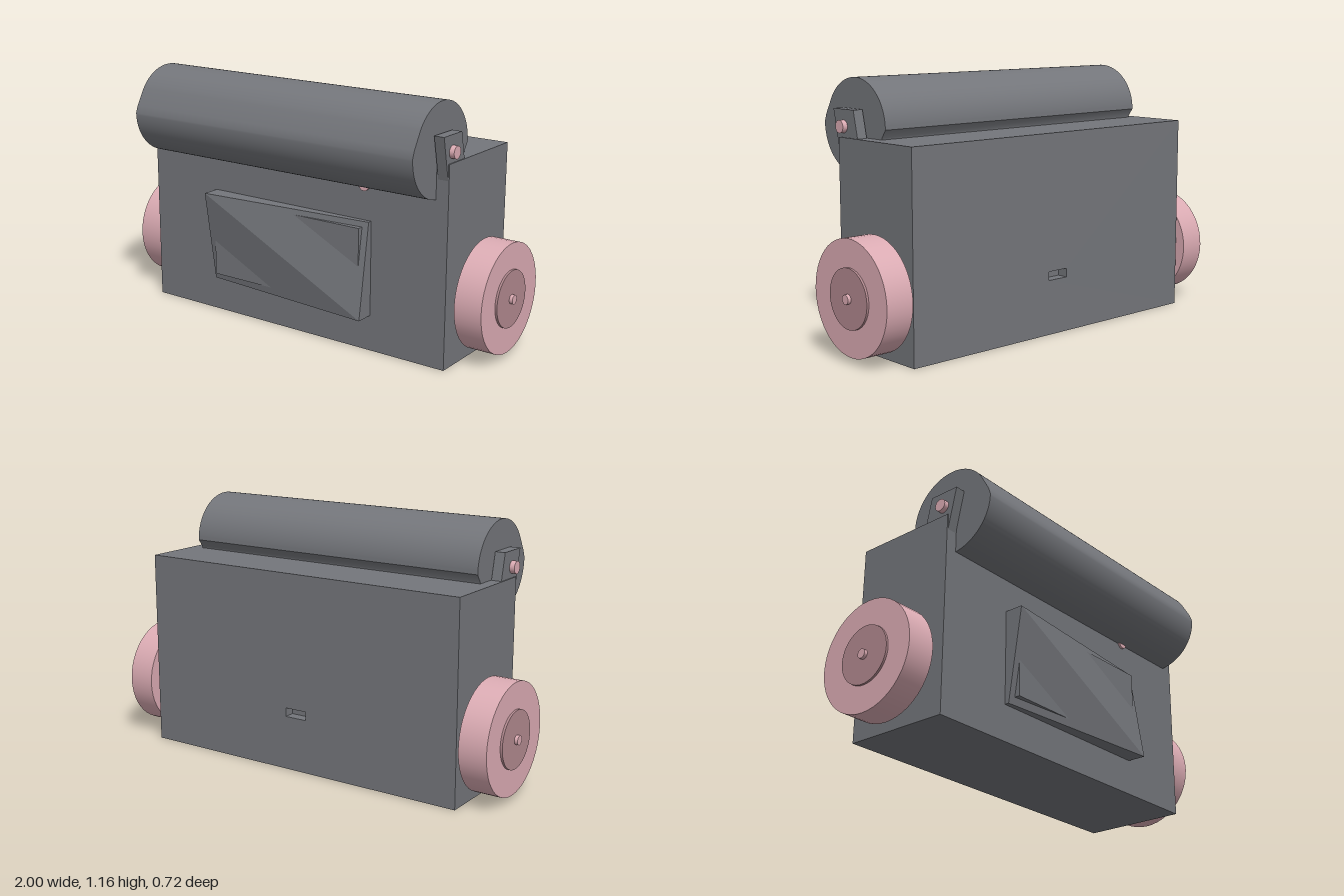
import * as THREE from 'three';
import { toCreasedNormals } from 'three/addons/utils/BufferGeometryUtils.js';
import { ConvexGeometry } from 'three/addons/geometries/ConvexGeometry.js';

const paint = (name, color) => {
  const m = new THREE.MeshStandardMaterial({ color });
  m.name = name;
  return m;
};

export function createModel() {
  const model = new THREE.Group();
  const grey = paint('slate grey', 0x74767b);
  const pink = paint('dusty pink', 0xdcacb4);
  const darkPink = paint('dark pink', 0xb2898f);

  const add = (name, geometry, material, parent = model) => {
    const mesh = new THREE.Mesh(geometry, material);
    mesh.name = name;
    parent.add(mesh);
    return mesh;
  };
  const box = (x0, x1, y0, y1, z0, z1) =>
    new THREE.BoxGeometry(x1 - x0, y1 - y0, z1 - z0)
      .translate((x0 + x1) / 2, (y0 + y1) / 2, (z0 + z1) / 2);
  // Cylinder lying along x between x0 and x1
  const rod = (r, x0, x1, y, z, sides = 48) =>
    new THREE.CylinderGeometry(r, r, x1 - x0, sides)
      .rotateZ(Math.PI / 2).translate((x0 + x1) / 2, y, z);
  // Profile drawn in (z, y), extruded along x
  const slab = (shape, x0, x1) =>
    new THREE.ExtrudeGeometry(shape, { depth: x1 - x0, bevelEnabled: false, curveSegments: 32 })
      .rotateY(-Math.PI / 2).translate(x1, 0, 0);
  const polygon = (pts) => new THREE.Shape(pts.map(([a, b]) => new THREE.Vector2(a, b)));

  // Body, with a shallow slot cut into the back
  add('body', box(-0.82, 0.82, 0, 0.91, -0.28, 0.17), grey);
  const back = polygon([[-0.82, 0], [0.82, 0], [0.82, 0.91], [-0.82, 0.91]]);
  back.holes.push(polygon([[-0.055, 0.25], [-0.055, 0.29], [0.055, 0.29], [0.055, 0.25]]));
  add('slottedBack', new THREE.ExtrudeGeometry(back, { depth: 0.05, bevelEnabled: false })
    .translate(0, 0, -0.33), grey);

  // Front panel: ridge between two raised corners, with a flat plate showing through
  const corners = [];
  for (const x of [-0.44, 0.44]) {
    for (const y of [0.165, 0.6]) {
      const raised = (x < 0) === (y > 0.4);
      corners.push(new THREE.Vector3(x, y, 0.168), new THREE.Vector3(x, y, raised ? 0.257 : 0.19));
    }
  }
  add('frontPanel', new ConvexGeometry(corners), grey);
  add('panelPlate', box(-0.41, 0.41, 0.2, 0.575, 0.168, 0.223), grey);

  // Roller: two offset arcs joined at the front
  const profile = new THREE.Shape();
  profile.absarc(0.15, 0.96, 0.21, Math.PI + 0.2, Math.PI * 2, false);
  profile.lineTo(0.348, 0.994);
  profile.absarc(0.13, 0.953, 0.21, 0.6, Math.PI, false);
  profile.closePath();
  add('roller', toCreasedNormals(slab(profile, -0.765, 0.76), 0.4), grey);

  // Small knob tucked below the roller
  add('knob', new THREE.CylinderGeometry(0.025, 0.025, 0.03, 16)
    .rotateX(Math.PI / 2).translate(0.405, 0.757, 0.165), pink);

  const bracket = polygon([[0.212, 1.03], [0.068, 1.03], [0.022, 0.83], [0.168, 0.83]]);
  for (const side of [1, -1]) {
    const label = side > 0 ? 'left' : 'right';
    const span = (a, b) => (side > 0 ? [a, b] : [-b, -a]);

    // Roller mount
    add(label + 'Bracket', slab(bracket, ...span(0.768, 0.815)), grey);
    add(label + 'RollerPin', rod(0.028, ...span(0.755, 0.838), 0.957, 0.14, 24), pink);

    // Wheel, hub and axle
    const wheel = new THREE.Group();
    wheel.name = label + 'Wheel';
    model.add(wheel);
    add('tyre', rod(0.25, ...span(0.845, 0.975), 0.28, -0.11), pink, wheel);
    add('hub', rod(0.13, ...span(0.833, 0.985), 0.28, -0.11), darkPink, wheel);
    add('axle', rod(0.021, ...span(0.8, 1), 0.28, -0.11, 24), pink, wheel);
  }
  return model;
}
